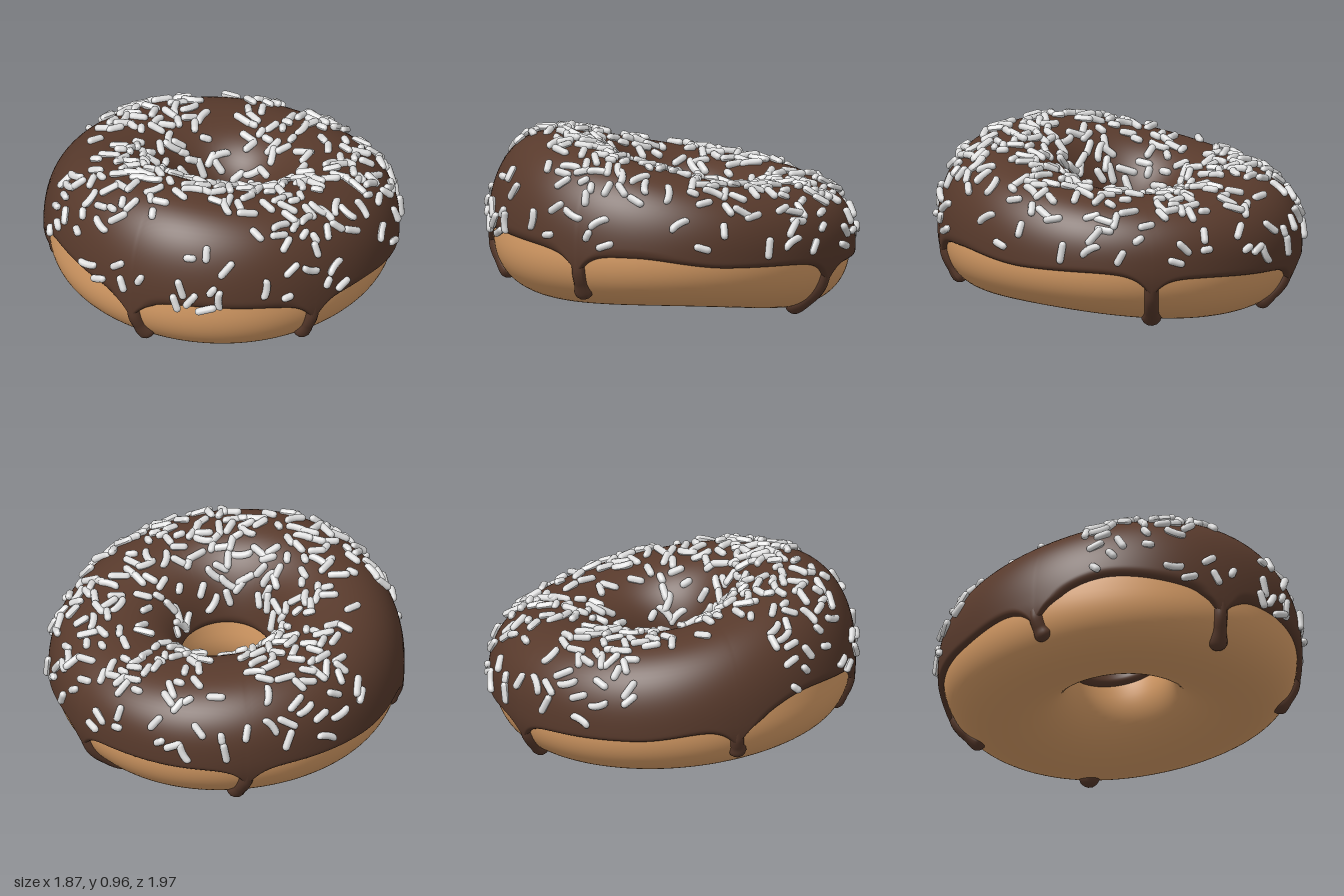
import * as THREE from 'three';
import { mergeGeometries } from 'three/addons/utils/BufferGeometryUtils.js';

const { sin, cos, abs, sqrt, exp, PI, min, max } = Math;
const { lerp, smoothstep, degToRad: rad } = THREE.MathUtils;
const spow = (v, e) => Math.sign(v) * Math.pow(abs(v), e);

// angle difference wrapped to -PI..PI
const wrap = (d) => Math.atan2(sin(d), cos(d));

// seeded random numbers
let seed = 7;
const random = () => {
  seed = (seed * 1664525 + 1013904223) % 4294967296;
  return seed / 4294967296;
};

// Lopsided ring surface: t runs around the ring, p around its section, off lifts it
function ring(t, p, off = 0) {
  const ct = cos(t), st = sin(t);
  const outX = 0.897, outZ = 0.93, inner = 0.26;
  const lump = 0.006 * sin(3 * t + 1);
  const top = 0.763 + 0.12 * st - 0.036 * ct - 0.028 * ct * ct + lump;
  const mid = 0.365 + 0.035 * st;
  const bottom = 0.041 + 0.037 * st + 0.024 * ct * ct + lump;
  const c = cos(p), s = sin(p);
  const funnel = c < 0 && s < 0 ? 1.1 : 0.88;
  const h = s > 0 ? top - mid : mid - bottom;
  const place = (out) => (out + inner) / 2 + ((out - inner) / 2 + off) * spow(c, funnel);
  return new THREE.Vector3(
    -0.027 + place(outX) * ct,
    mid + (h + off) * spow(s, 0.87),
    0.003 + place(outZ) * st
  );
}

// Grid of points closed around the ring, optionally closed around the section
function grid(nu, nv, point, closed) {
  const pos = [], idx = [];
  const rows = closed ? nv : nv + 1;
  for (let i = 0; i < nu; i++)
    for (let j = 0; j < rows; j++) pos.push(...point(i / nu, j / nv).toArray());
  for (let i = 0; i < nu; i++)
    for (let j = 0; j < nv; j++) {
      const i2 = (i + 1) % nu, j2 = (j + 1) % rows;
      const a = i * rows + j, b = i * rows + j2, c = i2 * rows + j, d = i2 * rows + j2;
      idx.push(a, b, c, b, d, c);
    }
  const g = new THREE.BufferGeometry();
  g.setAttribute('position', new THREE.Float32BufferAttribute(pos, 3));
  g.setIndex(idx);
  g.computeVertexNormals();
  return g;
}

// Drips: position around the ring, section angle of the tip, sideways drift
const drips = [
  { at: rad(112.5), tip: -0.86, drift: -0.06 },
  { at: rad(49.5), tip: -0.9, drift: 0.03 },
  { at: rad(-43), tip: -1.4, drift: -0.07 },
  { at: rad(-106), tip: -1.1, drift: 0.08 },
  { at: rad(176), tip: -0.68, drift: -0.04 },
];

// Section angle of the icing edge at every 30 degrees from the right side
const edge = [-0.15, -0.04, 0.0, 0.03, 0.04, 0.12, -0.06, -0.18, -0.19, -0.2, -0.18, -0.13];

// Lower outer edge of the icing, pulled down at each drip
function icingEdge(t) {
  const k = ((t / (2 * PI) + 1) % 1) * 12, i = Math.floor(k);
  let p = lerp(edge[i % 12], edge[(i + 1) % 12], smoothstep(k - i, 0, 1));
  for (const d of drips) p -= 0.36 * exp(-abs(wrap(t - d.at)) / 0.068);
  return p;
}

function icingGeometry() {
  return grid(320, 64, (u, v) => {
    const t = u * 2 * PI;
    const low = icingEdge(t), high = PI - 0.06 - 0.05 * cos(t - rad(55));
    const p = lerp(low, high, v - 0.12 * sin(2 * PI * v));
    const k = min(1, min(p - low, high - p) / 0.09);
    return ring(t, p, -0.012 + 0.04 * sqrt(max(0, 1 - (1 - k) ** 2)));
  }, false);
}

// Tube that starts inside the icing, follows the dough and swells into a drop
function dripGeometry({ at, tip, drift }) {
  const start = icingEdge(at) + 0.36, pts = [];
  for (let i = 0; i <= 16; i++) {
    const k = i / 16;
    pts.push(ring(at + drift * k * k, lerp(start, tip, k), lerp(-0.012, 0, min(1, 3 * k)) - 0.013 * k));
  }
  const path = new THREE.CatmullRomCurve3(pts);
  const rings = 48, sides = 14, cap = 0.055 / path.getLength();
  const g = new THREE.TubeGeometry(path, rings, 1, sides, false);
  const a = g.attributes.position, v = new THREE.Vector3();
  for (let i = 0; i <= rings; i++) {
    const k = i / rings, centre = path.getPointAt(k);
    let r = 0.038 + 0.018 * smoothstep(k, 0.6, 0.92);
    if (k > 1 - cap) r *= sqrt(max(0.0001, 1 - ((k - 1 + cap) / cap) ** 2));
    for (let j = 0; j <= sides; j++) {
      const n = i * (sides + 1) + j;
      v.fromBufferAttribute(a, n).sub(centre).multiplyScalar(r).add(centre);
      a.setXYZ(n, v.x, v.y, v.z);
    }
  }
  g.computeVertexNormals();
  return g;
}

// Rounded rod along y, bent sideways by the given amount
function sprinkleGeometry(length, bend) {
  const g = new THREE.CapsuleGeometry(0.02, length, 3, 9, 4);
  const a = g.attributes.position;
  for (let i = 0; i < a.count; i++) {
    const y = a.getY(i);
    a.setX(i, a.getX(i) + bend * (y / 0.05) ** 2);
  }
  g.computeVertexNormals();
  return g;
}

// Thinly covered patches: around the ring, section angle, half sizes, share kept
const bare = [
  { t: rad(185), p: 0.5, dt: 0.45, dp: 0.8, keep: 0.03 },
  { t: rad(98), p: 0.9, dt: 0.3, dp: 0.5, keep: 0.2 },
  { t: rad(-98), p: 1.4, dt: 0.2, dp: 0.8, keep: 0.1 },
  { t: rad(-20), p: 2.2, dt: 0.5, dp: 0.6, keep: 0.25 },
  { t: rad(-90), p: 2.6, dt: 0.6, dp: 0.4, keep: 0.3 },
];

function sprinklesGeometry(count) {
  const kinds = [[0.065, 0], [0.055, 0], [0.08, 0], [0.08, 0.008], [0.06, 0], [0.03, 0]]
    .map(([l, b]) => sprinkleGeometry(l, b));
  const parts = [], spots = [];
  for (let tries = 0; tries < 20000 && parts.length < count; tries++) {
    const t = random() * 2 * PI, p = lerp(0.04, 2.8, random());
    const spot = ring(t, p, 0.037);
    let keep = Math.hypot(spot.x, spot.z) / 0.95 + 0.15;
    if (p < 0.8) keep *= 0.33;
    for (const b of bare)
      if (abs(wrap(t - b.t)) < b.dt && abs(p - b.p) < b.dp) keep *= b.keep;
    if (random() > keep || spots.some((s) => s.distanceTo(spot) < 0.05)) continue;
    spots.push(spot);
    const along = ring(t + 0.02, p, 0.037).sub(spot).normalize();
    const up = ring(t, p + 0.02, 0.037).sub(spot).normalize();
    const normal = new THREE.Vector3().crossVectors(up, along).normalize();
    const turn = random() * 2 * PI;
    const y = along.clone().multiplyScalar(cos(turn))
      .addScaledVector(up, sin(turn))
      .addScaledVector(normal, (random() - 0.5) * 0.4).normalize();
    const x = new THREE.Vector3().crossVectors(y, normal).normalize();
    const z = new THREE.Vector3().crossVectors(x, y);
    const m = new THREE.Matrix4().makeBasis(x, y, z).setPosition(spot);
    parts.push(kinds[Math.floor(random() * kinds.length)].clone().applyMatrix4(m));
  }
  return mergeGeometries(parts);
}

export function createModel() {
  seed = 7;
  const material = (name, color) => {
    const m = new THREE.MeshStandardMaterial({ color });
    m.name = name;
    return m;
  };
  const dough = material('dough', 0xdca068);
  const chocolate = material('chocolate', 0x583a2c);
  const sugar = material('sugar', 0xdedede);

  const model = new THREE.Group();
  model.name = 'doughnut';
  const add = (name, geometry, mat) => {
    const mesh = new THREE.Mesh(geometry, mat);
    mesh.name = name;
    model.add(mesh);
  };

  add('doughRing', grid(160, 80, (u, v) => ring(u * 2 * PI, v * 2 * PI), true), dough);
  add('icing', icingGeometry(), chocolate);
  drips.forEach((d) => add('icingDrip', dripGeometry(d), chocolate));
  add('sprinkles', sprinklesGeometry(335), sugar);
  return model;
}
